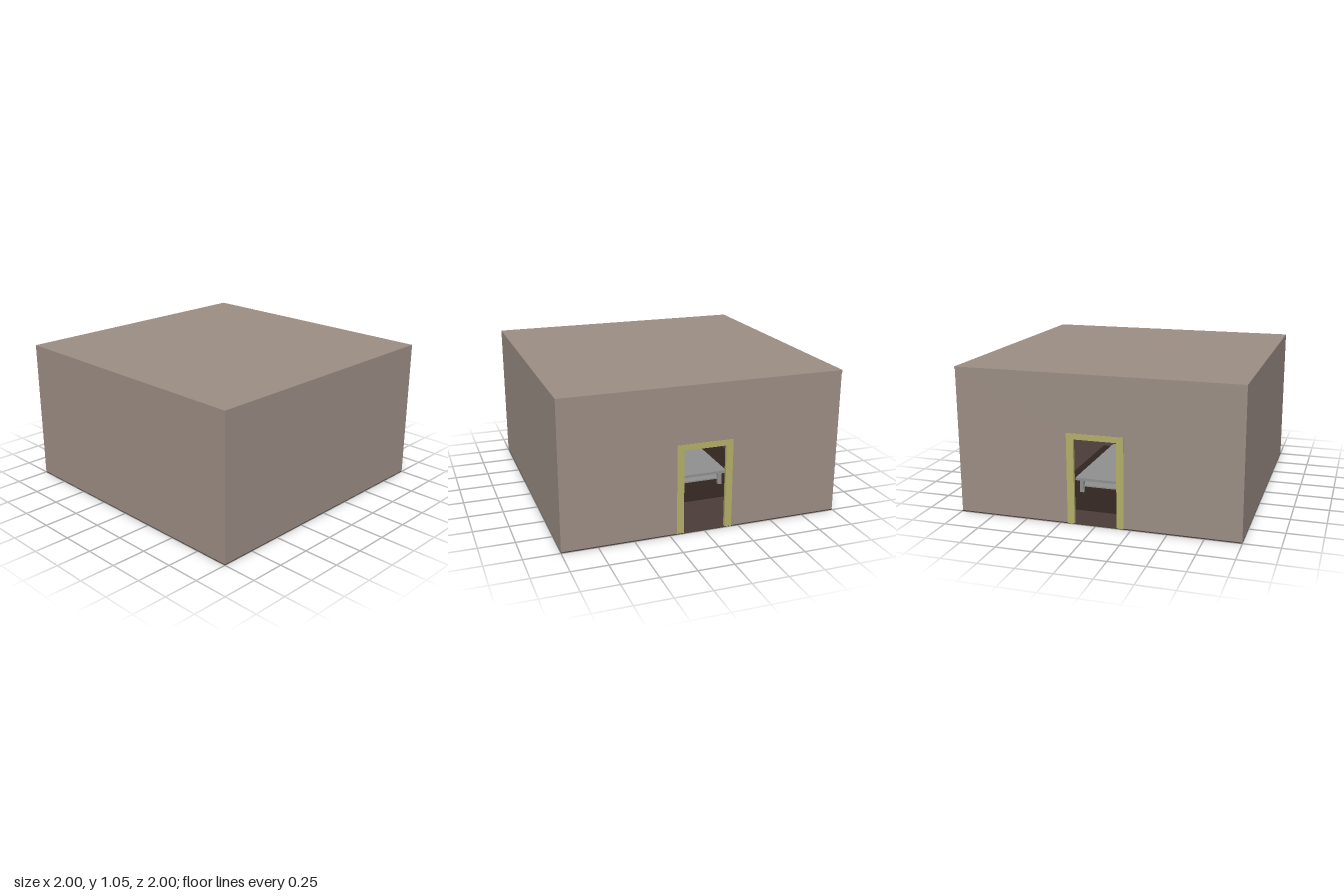
import * as THREE from 'three';

const H = 1.045;      // overall height
const T = 0.016;      // wall and roof thickness
const FLOOR = 0.006;  // floor slab thickness

const mat = (color) => new THREE.MeshStandardMaterial({ color });
const wallMat = mat(0x9b8d84);
const frameMat = mat(0xb3ad68);
const floorMat = mat(0x4b3d38);
const rugMat = mat(0x30241f);
const greyMat = mat(0x8f8f8f);

function box(name, w, h, d, x, y, z, material) {
  const mesh = new THREE.Mesh(new THREE.BoxGeometry(w, h, d), material);
  mesh.position.set(x, y, z);
  mesh.name = name;
  return mesh;
}

// Upright panel with a doorway cut up from its bottom edge
function arch(name, halfOuter, top, halfInner, innerTop, depth, material) {
  const shape = new THREE.Shape([
    [-halfOuter, 0], [-halfInner, 0], [-halfInner, innerTop], [halfInner, innerTop],
    [halfInner, 0], [halfOuter, 0], [halfOuter, top], [-halfOuter, top],
  ].map(([x, y]) => new THREE.Vector2(x, y)));
  const geo = new THREE.ExtrudeGeometry(shape, { depth, bevelEnabled: false });
  const mesh = new THREE.Mesh(geo, material);
  mesh.name = name;
  return mesh;
}

// Wall with a framed doorway, its outer face towards -z
function doorWall(name, halfWidth) {
  const group = new THREE.Group();
  group.name = name;
  const wall = arch('wallPanel', halfWidth, H - T - FLOOR, 0.18, 0.62, T, wallMat);
  wall.position.set(0, FLOOR, -0.997);
  const frame = arch('doorFrame', 0.2, 0.64, 0.15, 0.6, T + 0.006, frameMat);
  frame.position.set(0, 0.001, -1);
  group.add(wall, frame);
  return group;
}

// Low table on four legs with a lower shelf
function table() {
  const group = new THREE.Group();
  group.name = 'table';
  const w = 0.9, d = 0.7, h = 0.12;
  group.add(box('tableTop', w, 0.02, d, 0, h, 0, greyMat));
  group.add(box('tableShelf', w - 0.06, 0.01, d - 0.06, 0, 0.06, 0, greyMat));
  for (const sx of [-1, 1]) for (const sz of [-1, 1]) {
    group.add(box('tableLeg', 0.03, h - 0.015, 0.03, sx * (w / 2 - 0.04), h / 2, sz * (d / 2 - 0.04), greyMat));
  }
  return group;
}

export function createModel() {
  const room = new THREE.Group();
  room.name = 'room';

  // Floor, and a roof that stops against the front and right walls
  room.add(box('floor', 2, FLOOR, 2, 0, FLOOR / 2, 0, floorMat));
  room.add(box('roof', 2 - T, T, 2 - T, -T / 2, H - T / 2, -T / 2, wallMat));

  // Solid walls
  const wallH = H - FLOOR;
  room.add(box('frontWall', 2, wallH, T, 0, FLOOR + wallH / 2, 1 - T / 2, wallMat));
  room.add(box('sideWall', T, wallH, 2 - T, 1 - T / 2, FLOOR + wallH / 2, -T / 2, wallMat));

  // Walls with doorways
  const back = doorWall('backDoorWall', 0.997);
  const side = doorWall('sideDoorWall', 0.997);
  side.rotation.y = Math.PI / 2;
  room.add(back, side);

  // Furnishings
  room.add(box('rug', 1.52, 0.004, 1.08, 0, FLOOR + 0.002, 0, rugMat));
  room.add(table());
  return room;
}
